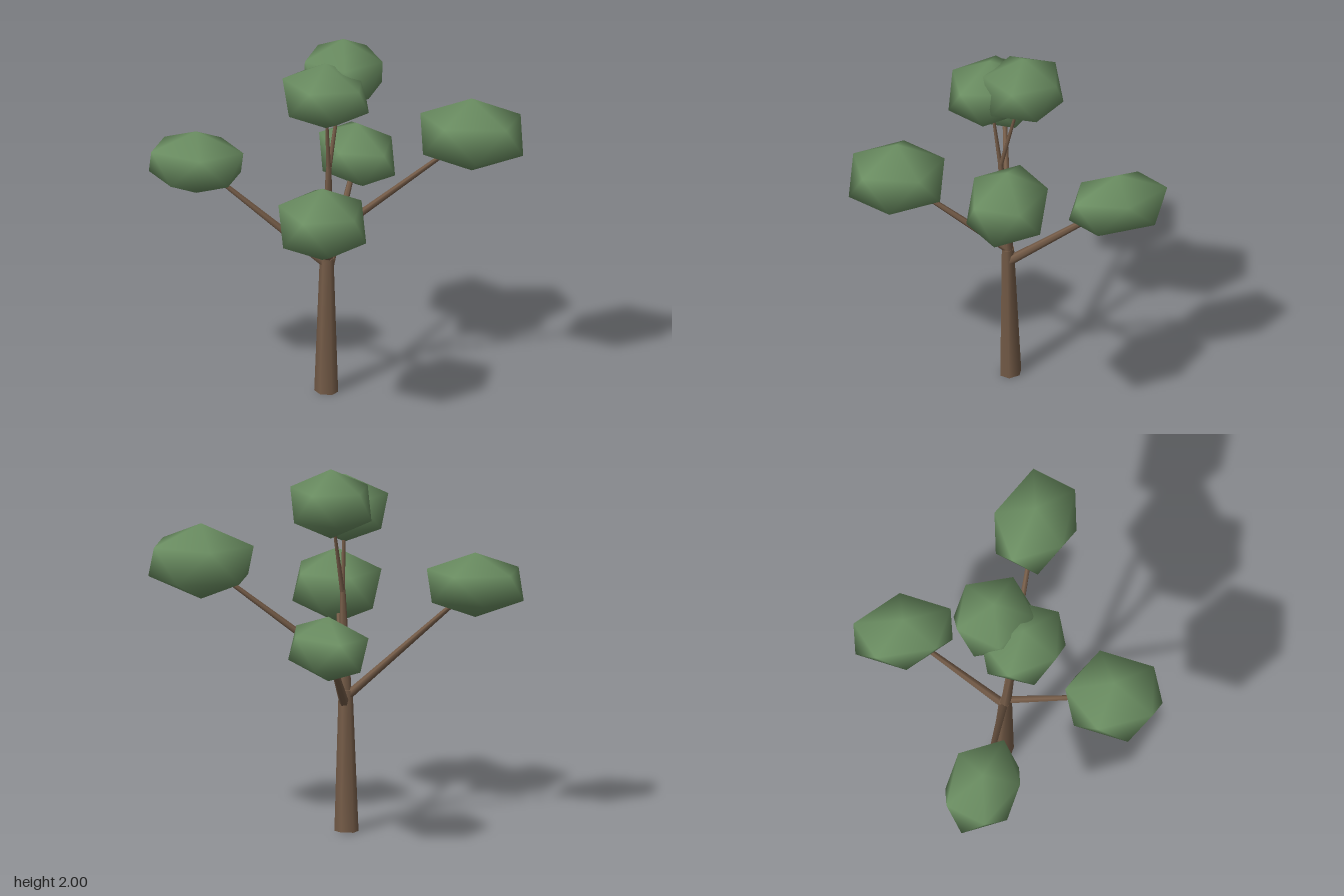
import * as THREE from 'three';

const bark = new THREE.MeshStandardMaterial({ color: 0x755c48 });
bark.name = 'bark brown';
const leaf = new THREE.MeshStandardMaterial({ color: 0x6b8e62 });
leaf.name = 'leaf green';

// Tapered six-sided limb between two points
function limb(name, from, to, r0, r1) {
  const a = new THREE.Vector3(...from), b = new THREE.Vector3(...to);
  const dir = b.clone().sub(a);
  const mesh = new THREE.Mesh(new THREE.CylinderGeometry(r1, r0, dir.length(), 6), bark);
  mesh.name = name;
  mesh.position.copy(a).add(b).multiplyScalar(0.5);
  mesh.quaternion.setFromUnitVectors(new THREE.Vector3(0, 1, 0), dir.normalize());
  return mesh;
}

// Smooth twelve-point clump: two poles and two staggered five-point rings,
// stretched to radii rx, rz, then turned in the ground plane (degrees)
function clump({ name, at, h, rx, rz, turn, phase }) {
  const rad = Math.PI / 180;
  const c = Math.cos(turn * rad), s = Math.sin(turn * rad);
  const pos = [0, h, 0, 0, -h, 0], index = [];
  for (const side of [1, -1]) {
    for (let i = 0; i < 5; i++) {
      const a = (phase + i * 72 + (side < 0 ? 36 : 0)) * rad;
      const x = rx * Math.cos(a), z = rz * Math.sin(a);
      pos.push(x * c - z * s, side * h * 0.447, x * s + z * c);
    }
  }
  for (let i = 0; i < 5; i++) {
    const u = 2 + i, v = 2 + (i + 1) % 5, l = 7 + i, m = 7 + (i + 1) % 5;
    index.push(0, v, u, u, v, l, l, v, m, 1, l, m);
  }
  const geo = new THREE.BufferGeometry();
  geo.setAttribute('position', new THREE.Float32BufferAttribute(pos, 3));
  geo.setIndex(index);
  geo.computeVertexNormals();
  const mesh = new THREE.Mesh(geo, leaf);
  mesh.name = name;
  mesh.position.set(...at);
  return mesh;
}

export function createModel() {
  const tree = new THREE.Group();
  tree.name = 'tree';

  // Trunk, slightly flattened front to back
  const trunk = limb('trunk', [-0.063, 0, 0.005], [-0.052, 0.77, 0.016], 0.067, 0.039);
  trunk.scale.z = 0.85;
  tree.add(trunk, limb('upperTrunk', [-0.052, 0.74, 0.016], [-0.02, 1.31, 0.042], 0.033, 0.015));

  // Each leaf clump with the foot of the branch that carries it
  const crowns = [
    { name: 'leftLow', foot: [-0.04, 0.78, 0.02], r: 0.022,
      at: [0.27, 1.205, 0.515], h: 0.205, rx: 0.26, rz: 0.236, turn: 45, phase: 37 },
    { name: 'leftHigh', foot: [-0.04, 0.9, 0.015], r: 0.022,
      at: [0.595, 1.492, -0.41], h: 0.207, rx: 0.285, rz: 0.215, turn: -22.7, phase: 40 },
    { name: 'rightHigh', foot: [-0.07, 0.745, 0.02], r: 0.024,
      at: [-0.62, 1.325, 0.42], h: 0.177, rx: 0.262, rz: 0.196, turn: -22.7, phase: 4 },
    { name: 'rightLow', foot: [-0.05, 0.7, 0.005], r: 0.026,
      at: [-0.255, 1.135, -0.555], h: 0.177, rx: 0.277, rz: 0.19, turn: 32, phase: -13 },
    { name: 'topFront', foot: [-0.02, 1.29, 0.042], r: 0.013,
      at: [0, 1.745, 0.1], h: 0.186, rx: 0.24, rz: 0.212, turn: 0, phase: 8 },
    { name: 'topBack', foot: [-0.02, 1.29, 0.042], r: 0.013,
      at: [-0.025, 1.81, -0.1], h: 0.19, rx: 0.222, rz: 0.212, turn: 0, phase: 54 },
  ];
  for (const crown of crowns) {
    tree.add(limb(crown.name + 'Branch', crown.foot, crown.at, crown.r, crown.r * 0.45));
    tree.add(clump({ ...crown, name: crown.name + 'Leaves' }));
  }
  return tree;
}
